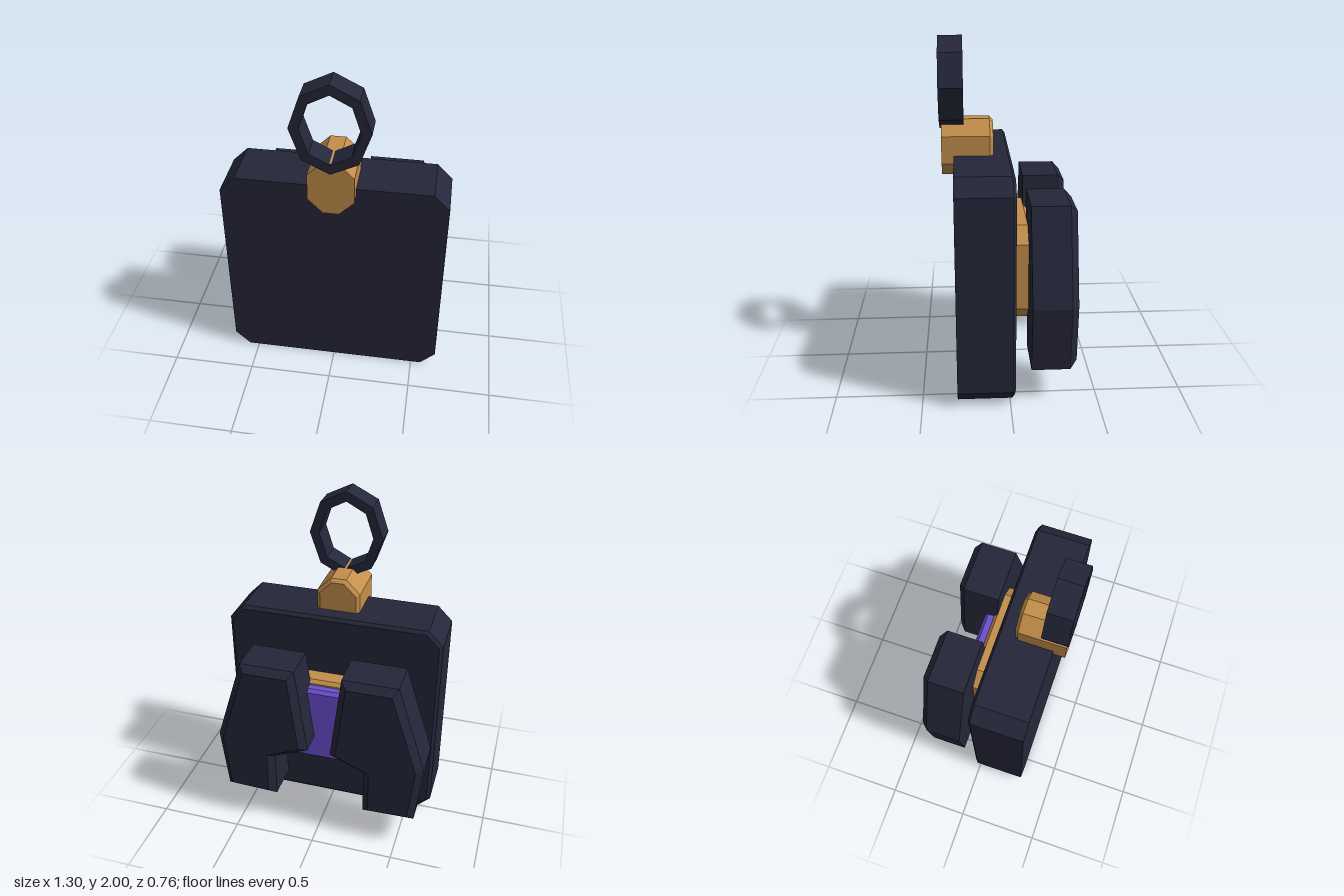
import * as THREE from 'three';

const paint = (name, color) => {
  const m = new THREE.MeshStandardMaterial({ color });
  m.name = name;
  return m;
};

// Shift a counter-clockwise outline inward by d with mitred corners
function inset(pts, d) {
  const n = pts.length;
  const normal = (a, b) => new THREE.Vector2(a.y - b.y, b.x - a.x).normalize();
  return pts.map((p, i) => {
    const n1 = normal(pts[(i + n - 1) % n], p);
    const n2 = normal(p, pts[(i + 1) % n]);
    return n1.clone().add(n2).multiplyScalar(d / (1 + n1.dot(n2))).add(p);
  });
}

// Faceted slab from z = front back to z = back, with only its back rim bevelled
function slab(pts, front, back, size, depth = size) {
  const loops = [[pts, front], [pts, back + depth], [inset(pts, size), back]];
  const n = pts.length, pos = [];
  const put = (k, i) => pos.push(loops[k][0][i % n].x, loops[k][0][i % n].y, loops[k][1]);
  for (let k = 0; k < 2; k++) {
    for (let i = 0; i < n; i++) {
      put(k, i); put(k + 1, i); put(k + 1, i + 1);
      put(k, i); put(k + 1, i + 1); put(k, i + 1);
    }
  }
  for (const [a, b, c] of THREE.ShapeUtils.triangulateShape(pts, [])) {
    put(0, a); put(0, b); put(0, c);
    put(2, c); put(2, b); put(2, a);
  }
  const g = new THREE.BufferGeometry();
  g.setAttribute('position', new THREE.Float32BufferAttribute(pos, 3));
  g.computeVertexNormals();
  return g;
}

const outline = (list) => list.map(([x, y]) => new THREE.Vector2(x, y));

// Rectangle with cut corners, counter-clockwise
const octagon = (w, y0, y1, cx, cy = cx) => outline([
  [-w + cx, y0], [w - cx, y0], [w, y0 + cy], [w, y1 - cy],
  [w - cx, y1], [-w + cx, y1], [-w, y1 - cy], [-w, y0 + cy],
]);

export function createModel() {
  const model = new THREE.Group();
  model.name = 'pendant';
  const dark = paint('darkNavy', 0x25273a);
  const gold = paint('gold', 0xc48f4b);
  const purple = paint('purple', 0x6c50d2);
  const add = (name, geometry, material) => {
    const mesh = new THREE.Mesh(geometry, material);
    mesh.name = name;
    model.add(mesh);
  };

  // Main block, clasp and layered back plates
  add('body', slab(octagon(0.65, 0, 1.33, 0.09), 0.3, -0.03, 0.02, 0.016), dark);
  add('clasp', slab(octagon(0.13, 1.2, 1.53, 0.085), 0.37, 0.07, 0.02), gold);
  add('backPlate', slab(octagon(0.35, 0.37, 0.95, 0.09), -0.02, -0.14, 0.02), gold);
  add('gemPlate', slab(octagon(0.31, 0.41, 0.92, 0.09), -0.13, -0.2, 0.02), purple);

  // Pair of back shells
  const shell = outline([
    [0.28, 0.19], [0.6, 0.2], [0.64, 0.59], [0.47, 1.13],
    [0.14, 1.13], [0.07, 0.58], [0.28, 0.49],
  ]);
  const mirrored = shell.map((p) => new THREE.Vector2(-p.x, p.y)).reverse();
  add('leftShell', slab(shell, -0.12, -0.38, 0.04), dark);
  add('rightShell', slab(mirrored, -0.12, -0.38, 0.04), dark);

  // Eight-sided hanging ring
  const oval = (rx, ry) => Array.from({ length: 8 }, (_, i) => {
    const a = (i * Math.PI) / 4;
    return new THREE.Vector2(rx * Math.cos(a), 1.735 + ry * Math.sin(a));
  });
  const ring = new THREE.Shape(oval(0.22, 0.267));
  ring.holes.push(new THREE.Path(oval(0.163, 0.208)));
  const ringGeometry = new THREE.ExtrudeGeometry(ring, { depth: 0.14, bevelEnabled: false });
  ringGeometry.translate(0, 0, 0.24);
  add('hangingRing', ringGeometry, dark);

  return model;
}
